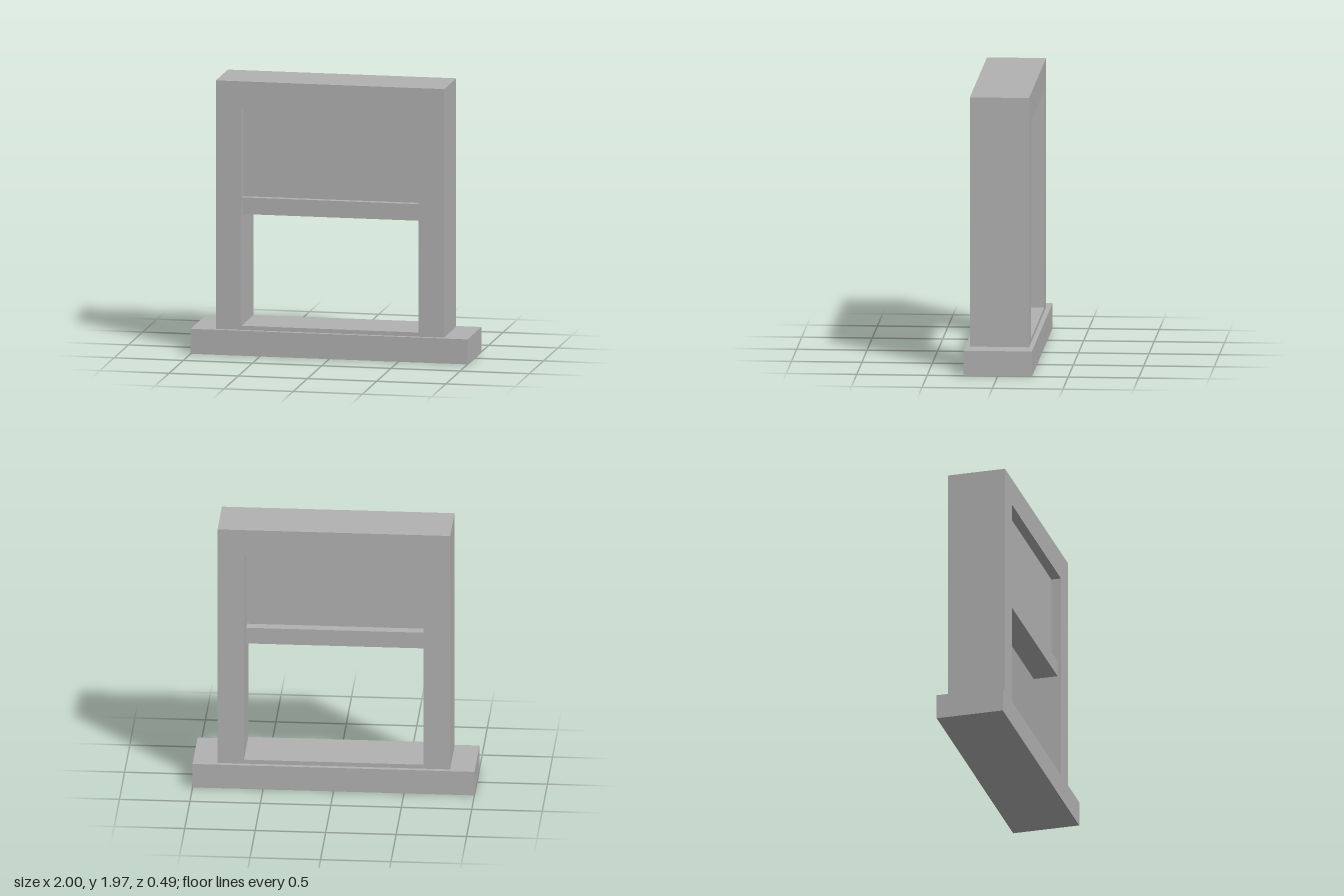
import * as THREE from 'three';

export function createModel() {
  const group = new THREE.Group();
  const grey = new THREE.MeshStandardMaterial({ color: 0xb2b2b2 });
  grey.name = 'plain grey';

  const add = (name, geometry) => {
    const mesh = new THREE.Mesh(geometry, grey);
    mesh.name = name;
    group.add(mesh);
  };

  // Box given by its half width and its y and z limits
  const slab = (name, halfWidth, y0, y1, z0, z1) => add(name,
    new THREE.BoxGeometry(2 * halfWidth, y1 - y0, z1 - z0)
      .translate(0, (y0 + y1) / 2, (z0 + z1) / 2));

  const rectangle = (path, halfWidth, y0, y1) => path
    .moveTo(-halfWidth, y0).lineTo(halfWidth, y0)
    .lineTo(halfWidth, y1).lineTo(-halfWidth, y1).closePath();

  // Wide sill under the window
  slab('sill', 1, 0, 0.18, -0.243, 0.243);

  // Deep surround with a rectangular opening
  const outline = new THREE.Shape();
  rectangle(outline, 0.825, 0.18, 1.97);
  const opening = new THREE.Path();
  rectangle(opening, 0.638, 0.21, 1.77);
  outline.holes.push(opening);
  add('frame', new THREE.ExtrudeGeometry(outline, { depth: 0.42, bevelEnabled: false })
    .translate(0, 0, -0.21));

  // Upper pane and the thicker rail below it
  slab('upperPane', 0.638, 1.13, 1.77, 0.085, 0.14);
  slab('paneRail', 0.638, 1.01, 1.13, 0.01, 0.185);

  return group;
}
